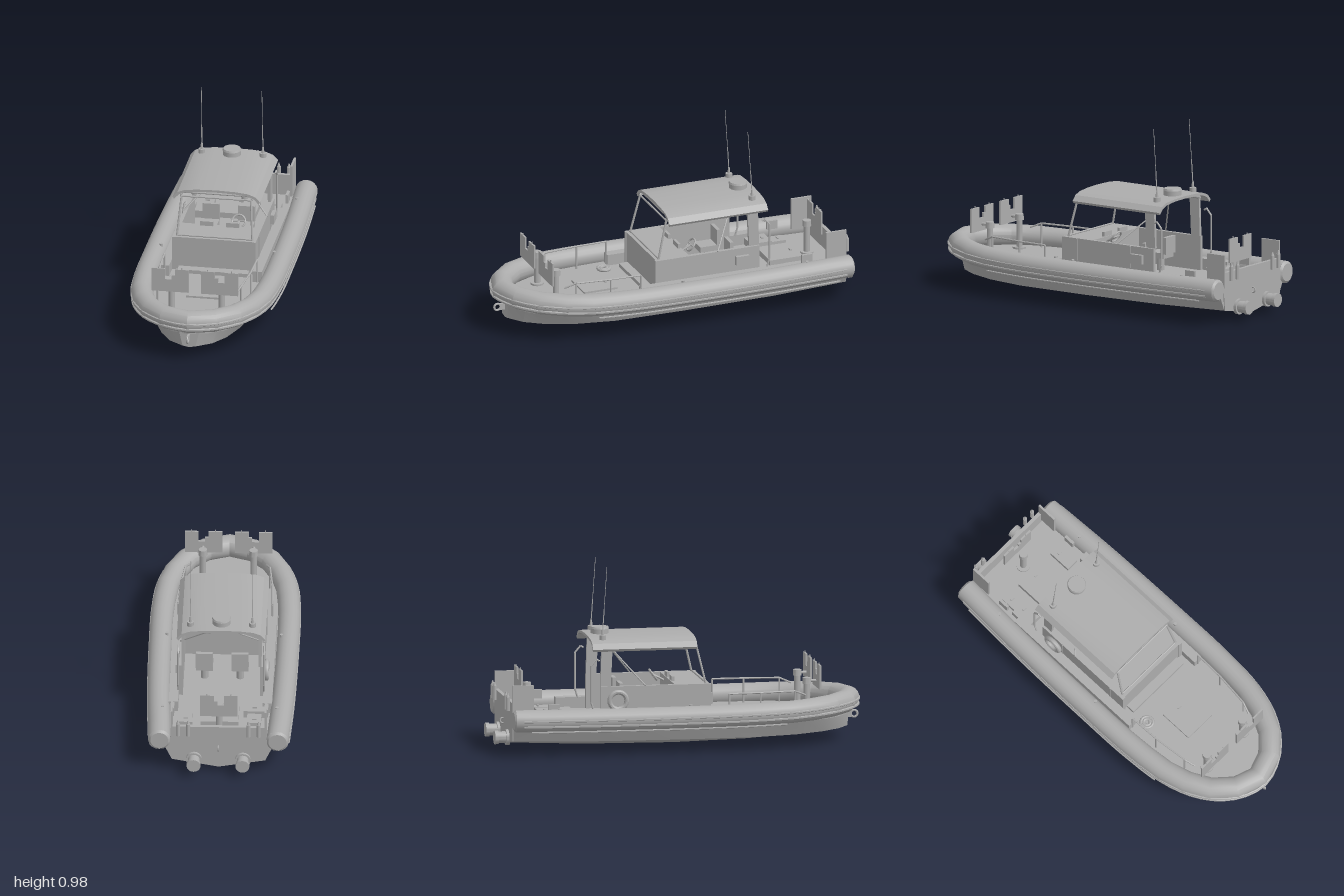
import * as THREE from 'three';
import { toCreasedNormals } from 'three/addons/utils/BufferGeometryUtils.js';

export function createModel() {
  const model = new THREE.Group();
  const grey = new THREE.MeshStandardMaterial({ color: 0xacacac, side: THREE.DoubleSide });
  grey.name = 'boat grey';
  const V = (x, y, z) => new THREE.Vector3(x, y, z);

  // Helpers
  const add = (name, geo, x = 0, y = 0, z = 0) => {
    const mesh = new THREE.Mesh(toCreasedNormals(geo, 0.42), grey);
    mesh.name = name;
    mesh.position.set(x, y, z);
    model.add(mesh);
    return mesh;
  };
  // Box given by its ranges
  const box = (name, x0, x1, y0, y1, z0, z1) =>
    add(name, new THREE.BoxGeometry(x1 - x0, y1 - y0, z1 - z0), (x0 + x1) / 2, (y0 + y1) / 2, (z0 + z1) / 2);
  const cyl = (name, r0, r1, y0, y1, x, z, n = 20) =>
    add(name, new THREE.CylinderGeometry(r1, r0, y1 - y0, n), x, (y0 + y1) / 2, z);
  // Round bar through a list of points
  const bar = (name, pts, r) => {
    for (let i = 1; i < pts.length; i++) {
      const d = pts[i].clone().sub(pts[i - 1]);
      const m = add(name, new THREE.CylinderGeometry(r, r, d.length(), 8));
      m.position.copy(pts[i]).add(pts[i - 1]).multiplyScalar(0.5);
      m.quaternion.setFromUnitVectors(V(0, 1, 0), d.normalize());
    }
  };
  const polygon = (pts) => new THREE.Shape(pts.map(p => new THREE.Vector2(p[0], p[1])));
  const extrude = (shape, depth) => new THREE.ExtrudeGeometry(shape, { depth, bevelEnabled: false });
  const sides = [-1, 1];
  const deckY = 0.165;

  // Hull stations: z, keel y, chine x, chine y, top x
  const stations = [
    [-0.92, 0.03, 0.25, 0.075, 0.29], [-0.5, 0.01, 0.265, 0.065, 0.31], [0, 0.003, 0.265, 0.06, 0.31],
    [0.4, 0.012, 0.26, 0.06, 0.305], [0.62, 0.03, 0.225, 0.062, 0.28], [0.77, 0.045, 0.175, 0.066, 0.225],
    [0.87, 0.057, 0.115, 0.07, 0.15], [0.93, 0.066, 0.035, 0.072, 0.055]];
  const rings = stations.map(([z, k, cx, cy, tx]) =>
    [V(0, k, z), V(cx, cy, z), V(tx, 0.16, z), V(-tx, 0.16, z), V(-cx, cy, z)]);
  const tris = [];
  for (let i = 0; i + 1 < rings.length; i++) {
    for (let j = 0; j < 5; j++) {
      const k = (j + 1) % 5, a = rings[i], b = rings[i + 1];
      tris.push(a[j], a[k], b[k], a[j], b[k], b[j]);
    }
  }
  const last = rings[rings.length - 1];
  for (let j = 1; j < 4; j++) {
    tris.push(rings[0][0], rings[0][j + 1], rings[0][j], last[0], last[j], last[j + 1]);
  }
  add('hull', new THREE.BufferGeometry().setFromPoints(tris));

  // Inflatable collar around the hull
  const half = [[0.314, 0.193, -0.92], [0.332, 0.191, -0.5], [0.339, 0.191, 0], [0.336, 0.194, 0.35],
    [0.31, 0.2, 0.6], [0.24, 0.209, 0.78], [0.135, 0.215, 0.892]];
  const collarPts = [...half.map(p => V(...p)), V(0, 0.217, 0.94), ...half.map(p => V(-p[0], p[1], p[2])).reverse()];
  const collar = new THREE.CatmullRomCurve3(collarPts, false, 'centripetal');
  add('collar', new THREE.TubeGeometry(collar, 30, 0.06, 18));
  for (const s of sides) {
    const end = add('collarEnd', new THREE.CylinderGeometry(0.048, 0.06, 0.012, 18), s * 0.314, 0.193, -0.925);
    end.rotation.x = -Math.PI / 2;
  }
  // Rubbing strakes that follow the collar
  const strake = (name, out, dy, r, t0, t1) => {
    const pts = [];
    for (let i = 0; i <= 34; i++) {
      const t = t0 + (t1 - t0) * i / 34, d = collar.getTangentAt(t);
      pts.push(collar.getPointAt(t).add(V(d.z, 0, -d.x).normalize().multiplyScalar(out)).add(V(0, dy, 0)));
    }
    add(name, new THREE.TubeGeometry(new THREE.CatmullRomCurve3(pts), 68, r, 6));
  };
  strake('upperStrake', 0.056, 0.004, 0.007, 0.01, 0.99);
  strake('lowerStrake', 0.052, -0.026, 0.008, 0.01, 0.99);
  strake('sprayRail', 0.055, -0.054, 0.005, 0.02, 0.36);
  strake('sprayRail', 0.055, -0.054, 0.005, 0.64, 0.98);

  // Deck, sunk between the collar tubes
  const deck = extrude(polygon(collar.getSpacedPoints(40).map(p => [p.x, p.z])), 0.02);
  deck.rotateX(Math.PI / 2);
  add('deck', deck, 0, deckY, 0);

  // Transom, stern wings and water jets
  add('transom', extrude(polygon([[-0.25, 0.075], [0, 0.03], [0.25, 0.075], [0.26, 0.17], [0.25, 0.28],
    [-0.25, 0.28], [-0.26, 0.17]]), 0.02), 0, 0, -0.925);
  for (const s of sides) {
    box('sternWing', s * 0.25 - 0.006, s * 0.25 + 0.006, 0.2, 0.375, -0.925, -0.81);
    const parts = [['jetFlange', 0.042, 0.02, -0.93], ['jetNozzle', 0.032, 0.06, -0.955], ['jetRim', 0.037, 0.02, -0.99]];
    for (const [name, r, len, z] of parts) {
      add(name, new THREE.CylinderGeometry(r, r, len, 18), s * 0.13, 0.08, z).rotation.x = Math.PI / 2;
    }
    for (const x of [0.16, 0.215]) {
      cyl('sternBottle', 0.011, 0.011, 0.235, 0.31, s * x, -0.943, 10);
      cyl('bottleNeck', 0.009, 0.003, 0.31, 0.33, s * x, -0.943, 10);
    }
    box('sternCleat', s * 0.25 - 0.008, s * 0.25 + 0.008, 0.22, 0.268, -0.73, -0.67);
  }
  const towEye = add('towEye', new THREE.TorusGeometry(0.014, 0.004, 6, 14), 0, 0.15, -0.93);
  towEye.rotation.y = Math.PI / 2;
  add('bowEye', new THREE.TorusGeometry(0.018, 0.006, 8, 18), 0, 0.128, 0.972).rotation.y = Math.PI / 2;
  box('bowEyeBracket', -0.006, 0.006, 0.11, 0.145, 0.92, 0.958);

  // Mooring posts with notched shields
  const shield = (x, z, w, flip) => {
    const pts = [[-0.5, 0.30], [0.5, 0.30], [0.5, 0.43], [0.13, 0.43], [0.13, 0.395], [0.04, 0.395],
      [0.04, 0.37], [-0.14, 0.37], [-0.14, 0.43], [-0.5, 0.43]].map(([u, y]) => [u * w * flip, y]);
    add('shield', extrude(polygon(pts), 0.01), x, 0, z - 0.005);
    for (const u of [-0.16, 0.16]) cyl('shieldPin', 0.003, 0.003, 0.42, 0.44, x + u * w * 2 * flip, z, 6);
  };
  const post = (x, z) => {
    cyl('postFoot', 0.036, 0.036, deckY, deckY + 0.01, x, z);
    cyl('postShaft', 0.017, 0.017, deckY, 0.33, x, z);
    cyl('postCap', 0.024, 0.022, 0.32, 0.352, x, z);
  };
  for (const s of sides) {
    shield(s * 0.133, 0.745, 0.2, -s);
    post(s * 0.135, 0.69);
    bar('shieldArm', [V(s * 0.135, 0.335, 0.69), V(s * 0.135, 0.335, 0.745)], 0.008);
  }
  shield(0, -0.845, 0.2, 1);
  post(0, -0.8);

  // Deck hatches, lockers and rope coil
  const hatches = [[-0.09, 0.09, 0.32, 0.51, 0.175], [-0.1, 0.1, -0.74, -0.55, 0.195], [-0.22, -0.145, -0.74, -0.65, 0.19],
    [-0.24, -0.125, -0.65, -0.53, 0.205], [0.145, 0.215, -0.74, -0.61, 0.19]];
  for (const [x0, x1, z0, z1, top] of hatches) {
    box('hatch', x0, x1, deckY, top, z0, z1);
    const m = (x0 + x1) / 2;
    box('hatchHandle', m - 0.012, m + 0.012, top, top + 0.007, z0 + 0.03, z0 + 0.04);
  }
  for (const r of [0.018, 0.032]) {
    add('ropeCoil', new THREE.TorusGeometry(r, 0.009, 8, 20), -0.18, deckY + 0.009, 0.29).rotation.x = Math.PI / 2;
  }

  // Console and cockpit walls
  box('console', -0.205, 0.205, deckY, 0.35, -0.04, 0.15);
  box('consoleStep', -0.19, 0.19, deckY, 0.185, 0.15, 0.2);
  for (const s of sides) {
    box('cockpitWall', s * 0.215 - 0.01, s * 0.215 + 0.01, deckY, 0.35, -0.44, 0.155);
    box('coaming', s * 0.25 - 0.025, s * 0.25 + 0.025, deckY, 0.225, -0.6, 0.25);
    for (const z of [0.06, -0.29]) box('doorSeam', s * 0.226 - 0.003, s * 0.226 + 0.003, 0.23, 0.348, z - 0.003, z + 0.003);
    box('displayScreen', s * 0.07 - 0.035, s * 0.07 + 0.035, 0.345, 0.375, -0.035, -0.02);
    // Seat
    const x = s * 0.095;
    cyl('seatPedestal', 0.02, 0.02, deckY, 0.24, x, -0.26);
    box('seatCushion', x - 0.045, x + 0.045, 0.235, 0.265, -0.31, -0.21);
    box('seatBack', x - 0.045, x + 0.045, 0.26, 0.352, -0.325, -0.305);
  }
  const wheel = add('steeringWheel', new THREE.TorusGeometry(0.035, 0.005, 8, 20), 0.09, 0.355, -0.1);
  wheel.rotation.x = -0.6;
  bar('steeringColumn', [V(0.09, 0.355, -0.1), V(0.09, 0.325, -0.04)], 0.006);
  bar('wheelSpoke', [V(0.055, 0.355, -0.1), V(0.125, 0.355, -0.1)], 0.004);
  add('lifeRing', new THREE.TorusGeometry(0.046, 0.013, 10, 24), -0.238, 0.275, -0.35).rotation.y = Math.PI / 2;
  box('sideLocker', 0.225, 0.245, 0.26, 0.31, -0.375, -0.3);

  // Canopy roof with drooping edges
  const arch = [[0, 0.605], [0.1, 0.602], [0.17, 0.595], [0.21, 0.58], [0.236, 0.552]];
  const outer = [...arch.slice(1).reverse().map(p => [-p[0], p[1]]), ...arch];
  const inner = outer.map(([x, y]) => [x * 0.965, y - 0.013]).reverse();
  add('canopy', extrude(polygon([...outer, ...inner]), 0.565), 0, 0, -0.485);
  for (const z of [0.07, -0.2, -0.41]) {
    bar('roofBeam', [V(-0.205, 0.57, z), V(-0.17, 0.58, z), V(0.17, 0.58, z), V(0.205, 0.57, z)], 0.006);
  }
  bar('windscreenTop', [V(-0.19, 0.56, 0.08), V(0.19, 0.56, 0.08)], 0.005);
  bar('windscreenBase', [V(-0.2, 0.355, 0.13), V(0.2, 0.355, 0.13)], 0.005);
  for (const s of sides) {
    bar('roofRail', [V(s * 0.19, 0.563, 0.08), V(s * 0.19, 0.563, -0.45)], 0.007);
    bar('windscreenPillar', [V(s * 0.187, 0.56, 0.08), V(s * 0.203, 0.35, 0.13)], 0.006);
    bar('diagonalBrace', [V(0, 0.56, -0.38), V(s * 0.225, 0.35, -0.2)], 0.004);
    // Tapered rear pillar
    const pillar = add('rearPillar', extrude(polygon([[0.375, 0.565], [0.435, 0.565], [0.442, 0.35], [0.385, 0.35]]), 0.016),
      s * 0.205 - 0.008, 0, 0);
    pillar.rotation.y = Math.PI / 2;
    bar('grabRail', [V(s * 0.228, 0.49, -0.45), V(s * 0.228, 0.5, -0.465), V(s * 0.228, 0.465, -0.495),
      V(s * 0.228, 0.27, -0.495), V(s * 0.228, 0.22, -0.48)], 0.005);
    // Whip aerial
    cyl('aerialFoot', 0.018, 0.018, 0.594, 0.618, s * 0.165, -0.42);
    cyl('aerialSocket', 0.008, 0.005, 0.618, 0.65, s * 0.165, -0.42, 10);
    bar('aerialBase', [V(s * 0.165, 0.64, -0.42), V(s * 0.164, 0.76, -0.412)], 0.0028);
    bar('aerialWhip', [V(s * 0.164, 0.76, -0.412), V(s * 0.163, 0.985, -0.397)], 0.0016);
    // Bow hand rail
    const rail = [V(s * 0.25, 0.295, 0.25), V(s * 0.245, 0.295, 0.42), V(s * 0.225, 0.295, 0.61), V(s * 0.205, 0.27, 0.67)];
    bar('bowRail', rail, 0.005);
    for (const p of rail.slice(0, 3)) bar('railPost', [p, V(p.x, deckY, p.z)], 0.005);
    for (const z of [-0.68, 0.03]) cyl('airValve', 0.009, 0.009, 0.235, 0.252, s * 0.305, z, 10);
  }
  cyl('radarDome', 0.048, 0.048, 0.6, 0.632, 0, -0.405, 28);
  cyl('radarCap', 0.05, 0.046, 0.63, 0.64, 0, -0.405, 28);

  return model;
}
